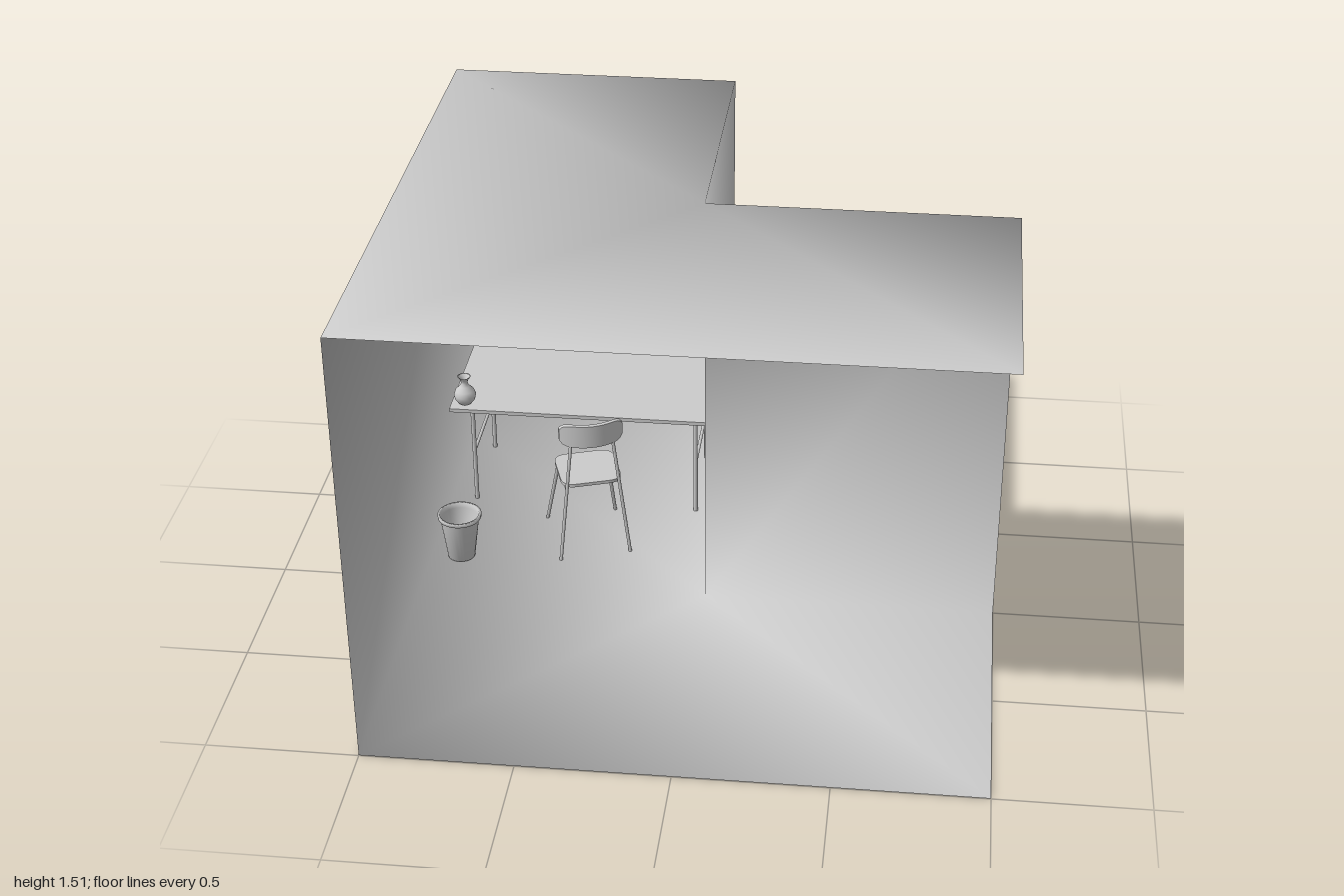
import * as THREE from 'three';
import { mergeVertices } from 'three/addons/utils/BufferGeometryUtils.js';

const material = new THREE.MeshStandardMaterial({ color: 0xcccccc, side: THREE.DoubleSide });
const v = (x, y, z) => new THREE.Vector3(x, y, z);

function add(parent, name, geometry, x = 0, y = 0, z = 0) {
  const mesh = new THREE.Mesh(geometry, material);
  mesh.name = name;
  mesh.position.set(x, y, z);
  parent.add(mesh);
  return mesh;
}

function addGroup(parent, name) {
  const group = new THREE.Group();
  group.name = name;
  parent.add(group);
  return group;
}

// Box given by its minimum and maximum corners; soft = shared corner normals
function box(parent, name, [x0, y0, z0], [x1, y1, z1], soft = false) {
  let g = new THREE.BoxGeometry(x1 - x0, y1 - y0, z1 - z0);
  if (soft) {
    g.deleteAttribute('normal');
    g.deleteAttribute('uv');
    g = mergeVertices(g);
    g.computeVertexNormals();
  }
  return add(parent, name, g, (x0 + x1) / 2, (y0 + y1) / 2, (z0 + z1) / 2);
}

// Round bar between two points
function rod(parent, name, a, b, r0, r1 = r0) {
  const d = b.clone().sub(a);
  const mesh = add(parent, name, new THREE.CylinderGeometry(r1, r0, d.length(), 12));
  mesh.position.copy(a).addScaledVector(d, 0.5);
  mesh.quaternion.setFromUnitVectors(v(0, 1, 0), d.normalize());
}

function lathe(parent, name, profile, x, y, z) {
  const points = profile.map(([r, h]) => new THREE.Vector2(r, h));
  return add(parent, name, new THREE.LatheGeometry(points, 32), x, y, z);
}

// L-shaped shell, open at the front and the left, with corner-shared normals
function roomGeometry(height) {
  const plan = [[-1, 1], [-1, -1], [0, -1], [0, 0], [1, 0], [1, 1]];
  const positions = [];
  for (const y of [0, height]) for (const [x, z] of plan) positions.push(x, y, z);
  const index = [];
  for (const [a, b, c] of [[0, 5, 3], [5, 4, 3], [0, 3, 1], [1, 3, 2]]) {
    index.push(a, b, c, a + 6, c + 6, b + 6);
  }
  for (let i = 0; i < 4; i++) index.push(i, i + 1, i + 7, i, i + 7, i + 6);
  const g = new THREE.BufferGeometry();
  g.setAttribute('position', new THREE.Float32BufferAttribute(positions, 3));
  g.setIndex(index);
  g.computeVertexNormals();
  return g;
}

// Rounded plate lying flat
function plateGeometry(w, d, r, thickness) {
  const s = new THREE.Shape(), x = w / 2, y = d / 2;
  s.moveTo(-x + r, -y);
  s.lineTo(x - r, -y).quadraticCurveTo(x, -y, x, -y + r);
  s.lineTo(x, y - r).quadraticCurveTo(x, y, x - r, y);
  s.lineTo(-x + r, y).quadraticCurveTo(-x, y, -x, y - r);
  s.lineTo(-x, -y + r).quadraticCurveTo(-x, -y, -x + r, -y);
  const g = new THREE.ExtrudeGeometry(s, { depth: thickness, bevelEnabled: false });
  return g.rotateX(-Math.PI / 2);
}

// Slab bent around the sitter, with rounded ends
function backrestGeometry(w, h, t) {
  const g = new THREE.BoxGeometry(w, h, t, 24, 6, 1);
  const p = g.attributes.position;
  for (let i = 0; i < p.count; i++) {
    const u = p.getX(i) / (w / 2);
    p.setY(i, p.getY(i) * Math.sqrt(1 - 0.75 * Math.abs(u) ** 8));
    p.setZ(i, p.getZ(i) - 0.04 * u * u);
  }
  g.computeVertexNormals();
  return g;
}

function buildChair(parent) {
  const chair = addGroup(parent, 'chair');
  chair.position.set(-0.4625, 0, -0.342);
  chair.rotation.y = 0.33;
  for (const s of [-1, 1]) {
    rod(chair, 'frontLeg', v(s * 0.126, 0, -0.14), v(s * 0.085, 0.288, -0.075), 0.006, 0.007);
    rod(chair, 'backLegAndPost', v(s * 0.126, 0, 0.144), v(s * 0.066, 0.535, 0.118), 0.006);
    rod(chair, 'seatSupport', v(s * 0.085, 0.281, -0.075), v(s * 0.095, 0.281, 0.13), 0.005);
  }
  add(chair, 'seat', plateGeometry(0.215, 0.21, 0.05, 0.012), 0, 0.285, 0.02);
  add(chair, 'backrest', backrestGeometry(0.225, 0.085, 0.016), 0, 0.497, 0.142);
}

function buildDesk(parent) {
  const desk = addGroup(parent, 'desk');
  const xs = [-0.91, -0.093], front = -0.54, back = -0.907;
  box(desk, 'deskTop', [-0.98, 0.405, -0.975], [-0.015, 0.419, -0.47]);
  for (const x of xs) {
    for (const z of [front, back]) rod(desk, 'deskLeg', v(x, 0, z), v(x, 0.406, z), 0.008);
    rod(desk, 'sideBar', v(x, 0.205, front), v(x, 0.205, back), 0.006);
  }
  rod(desk, 'backBar', v(xs[0], 0.205, back), v(xs[1], 0.205, back), 0.006);
}

function buildCabinets(parent) {
  const cabinets = addGroup(parent, 'wallCabinets');
  const front = -0.65;
  box(cabinets, 'carcass', [-0.985, 1.02, -0.995], [-0.01, 1.5, front], true);
  // Raised rim around the front
  box(cabinets, 'topRim', [-0.997, 1.497, -0.995], [-0.004, 1.51, front + 0.015]);
  box(cabinets, 'bottomRim', [-0.997, 1.015, -0.995], [-0.004, 1.026, front + 0.015]);
  for (const x of [-0.997, -0.013]) {
    box(cabinets, 'sideRim', [x, 1.015, -0.995], [x + 0.009, 1.51, front + 0.015]);
  }
  for (const [a, b] of [[-0.94, -0.665], [-0.657, -0.345], [-0.337, -0.05]]) {
    box(cabinets, 'door', [a, 1.03, front - 0.005], [b, 1.485, front + 0.018], true);
  }
}

function buildShelves(parent) {
  box(parent, 'wallShelf', [-0.96, 0.743, -0.995], [-0.37, 0.765, -0.8]);
  box(parent, 'narrowLedge', [-0.96, 0.602, -0.995], [-0.565, 0.611, -0.9]);

  // Stack of books: two covers, a spine and a page block each
  const books = addGroup(parent, 'bookStack');
  [[-0.6, -0.465], [-0.595, -0.475], [-0.6, -0.47], [-0.61, -0.46]].forEach(([a, b], i) => {
    const y = 0.765 + i * 0.0215, z = -0.82 - 0.004 * i;
    box(books, 'pages', [a + 0.006, y + 0.002, -0.97], [b - 0.004, y + 0.018, z - 0.004]);
    for (const h of [0, 0.0165]) box(books, 'cover', [a, y + h, -0.975], [b, y + h + 0.0035, z]);
    rod(books, 'spine', v(a + 0.004, y + 0.01, -0.975), v(a + 0.004, y + 0.01, z), 0.0098);
  });

  // Open rack in the corner beside the desk
  const rack = addGroup(parent, 'openRack');
  for (const x of [-0.16, -0.021]) box(rack, 'rackSide', [x, 0.588, -0.995], [x + 0.009, 1.002, -0.8]);
  for (const y of [0.588, 0.726, 0.862, 0.993]) {
    box(rack, 'rackShelf', [-0.155, y, -0.995], [-0.015, y + 0.009, -0.8]);
  }
  box(parent, 'wallPanel', [-0.02, 0.535, -0.75], [-0.004, 0.9, -0.3]);
}

export function createModel() {
  const room = new THREE.Group();
  room.name = 'studyRoom';
  add(room, 'roomShell', roomGeometry(1.513));
  buildCabinets(room);
  buildShelves(room);
  buildDesk(room);
  buildChair(room);

  lathe(room, 'vase', [[0, 0], [0.022, 0], [0.036, 0.018], [0.04, 0.036], [0.034, 0.054],
    [0.018, 0.07], [0.012, 0.082], [0.013, 0.094], [0.024, 0.11], [0.02, 0.108],
    [0.009, 0.092], [0.009, 0.08]], -0.93, 0.419, -0.52);
  lathe(room, 'wasteBin', [[0, 0.004], [0.048, 0.004], [0.069, 0.163], [0.077, 0.165],
    [0.078, 0.178], [0.069, 0.178], [0.066, 0.16], [0.045, 0.01], [0, 0.01]], -0.893, 0, -0.155);
  return room;
}
